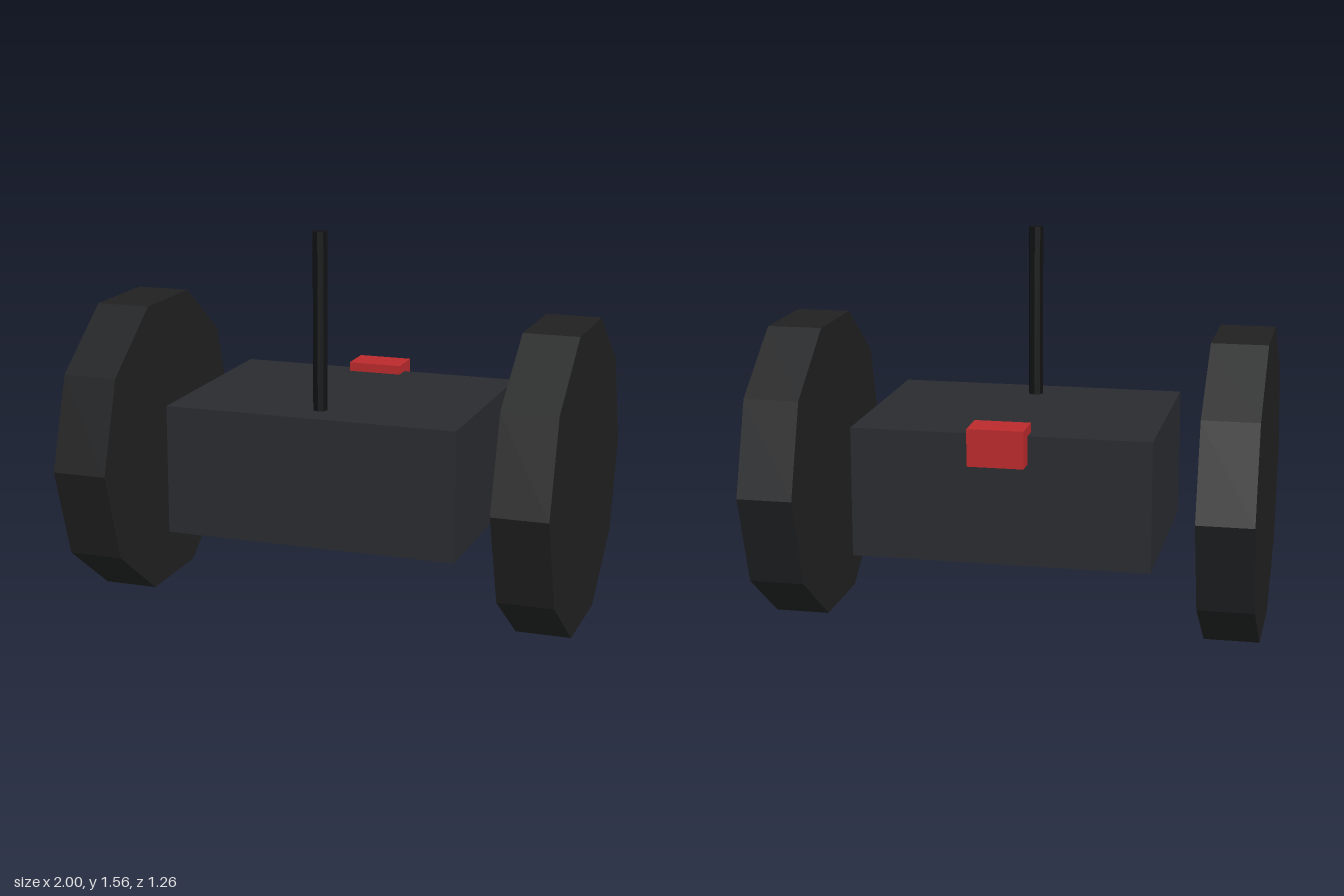
import * as THREE from 'three';

const material = (color) => new THREE.MeshStandardMaterial({ color, flatShading: true });

export function createModel() {
  const model = new THREE.Group();
  model.name = 'twoWheeledRobot';

  const add = (name, geometry, mat, x, y, z) => {
    const mesh = new THREE.Mesh(geometry, mat);
    mesh.name = name;
    mesh.position.set(x, y, z);
    model.add(mesh);
    return mesh;
  };

  // Box body
  add('body', new THREE.BoxGeometry(1.185, 0.52, 0.885), material(0x2a2b2f), 0, 0.6, 0);

  // Ten-sided wheels, corners pointing forward and back
  const wheelGeometry = new THREE.CylinderGeometry(0.631, 0.631, 0.222, 10).rotateZ(Math.PI / 2);
  const wheelMaterial = material(0x202122);
  for (const [name, side] of [['leftWheel', 1], ['rightWheel', -1]]) {
    add(name, wheelGeometry, wheelMaterial, side * 0.889, 0.6, 0);
  }

  // Antenna, sunk slightly into the body
  const bottom = 0.82, top = 1.563;
  add('antenna', new THREE.CylinderGeometry(0.03, 0.03, top - bottom, 8), material(0x111213),
    0, (bottom + top) / 2, 0.296);

  // Red lamp on the rear top edge
  add('rearLamp', new THREE.BoxGeometry(0.222, 0.148, 0.148), material(0xbb2a2c), 0, 0.823, -0.447);

  return model;
}
